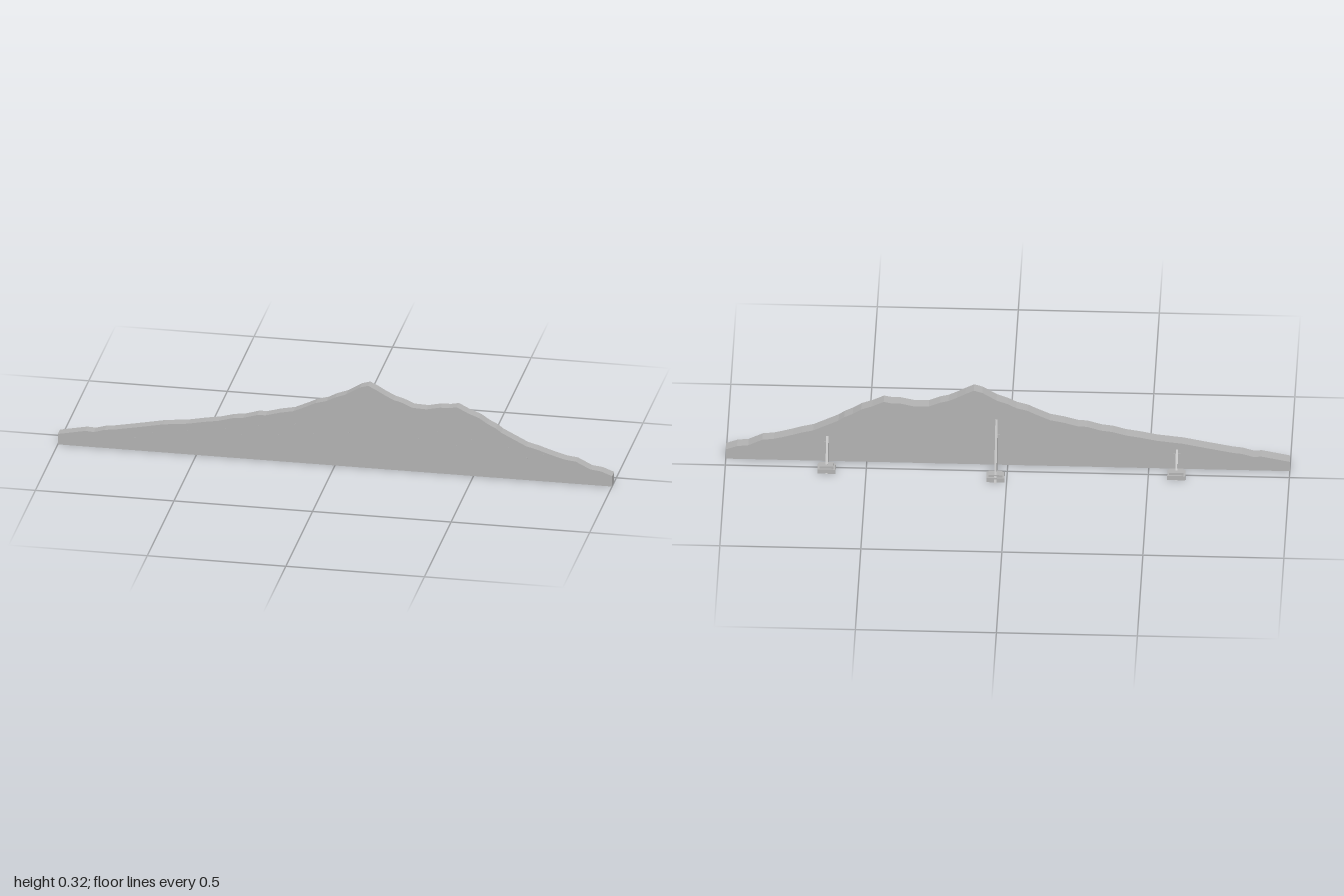
import * as THREE from 'three';

const gray = new THREE.MeshStandardMaterial({ color: 0xb2b2b2 });
gray.name = 'plain gray';

// Ridge line from the right end (-x) to the left end (+x)
const RIDGE = [
  [-1, 0.04], [-0.9, 0.06], [-0.87, 0.058], [-0.83, 0.07], [-0.8, 0.073], [-0.7, 0.092],
  [-0.62, 0.108], [-0.53, 0.118], [-0.47, 0.13], [-0.42, 0.138], [-0.37, 0.152], [-0.33, 0.157],
  [-0.28, 0.172], [-0.25, 0.173], [-0.2, 0.187], [-0.15, 0.197], [-0.1, 0.22], [-0.07, 0.235],
  [-0.03, 0.246], [0, 0.262], [0.04, 0.277], [0.09, 0.308], [0.12, 0.317], [0.15, 0.302],
  [0.18, 0.285], [0.21, 0.27], [0.24, 0.262], [0.28, 0.245], [0.33, 0.243], [0.38, 0.254],
  [0.41, 0.254], [0.44, 0.26], [0.48, 0.24], [0.52, 0.225], [0.55, 0.205], [0.58, 0.19],
  [0.6, 0.175], [0.64, 0.155], [0.69, 0.13], [0.73, 0.12], [0.76, 0.11], [0.8, 0.098],
  [0.83, 0.09], [0.87, 0.085], [0.92, 0.06], [0.96, 0.055], [1, 0.04],
];
const BACK = 0.04, FRONT = 0.08;

function prism(points, depth) {
  const shape = new THREE.Shape(points.map(([x, y]) => new THREE.Vector2(x, y)));
  return new THREE.ExtrudeGeometry(shape, { depth, bevelEnabled: false });
}

function add(parent, name, geometry, x = 0, y = 0, z = 0) {
  const mesh = new THREE.Mesh(geometry, gray);
  mesh.name = name;
  mesh.position.set(x, y, z);
  parent.add(mesh);
  return mesh;
}

// Triangular brace with a hinge plate and a stepped weight on its foot
function makeSupport({ x, height, foot, weightZ, hingeY }) {
  const group = new THREE.Group();
  group.name = 'support';
  group.position.x = x;
  const thick = 0.008;
  const brace = prism([[-BACK, 0], [-foot, 0], [-BACK, height]], thick);
  brace.rotateY(Math.PI / 2); // profile x becomes -z
  add(group, 'brace', brace, -thick / 2);
  add(group, 'hingePlate', new THREE.BoxGeometry(0.024, 0.025, 0.002), 0, hingeY, BACK - 0.001);
  add(group, 'weightBase', new THREE.BoxGeometry(0.064, 0.018, 0.04), 0, 0.009, weightZ);
  add(group, 'weightTop', new THREE.BoxGeometry(0.05, 0.009, 0.028), 0, 0.0225, weightZ);
  return group;
}

export function createModel() {
  const model = new THREE.Group();
  model.name = 'mountainCutout';

  // Flat mountain panel
  add(model, 'mountainPanel', prism([[-1, 0], [1, 0], ...[...RIDGE].reverse()], FRONT - BACK), 0, 0, BACK);

  // Supports behind the panel
  const supports = [
    { x: -0.6, height: 0.083, foot: -0.033, weightZ: -0.012, hingeY: 0.055 },
    { x: 0.04, height: 0.196, foot: -0.078, weightZ: -0.05, hingeY: 0.12 },
    { x: 0.64, height: 0.107, foot: -0.042, weightZ: -0.02, hingeY: 0.07 },
  ];
  // Profile x is negated by the rotation, so feet are mirrored here
  supports.forEach((s) => model.add(makeSupport(s)));

  // Tiny thin chips scattered along two slopes of the front face
  const chip = new THREE.BoxGeometry(0.012, 0.004, 0.001);
  for (let i = 0; i < 24; i++) {
    const x = -0.72 + i * 0.064;
    const ridge = 0.075 + 0.16 * Math.max(0, 1 - Math.abs(x - 0.15) / 0.9);
    const y = ridge * (i % 2 ? 0.8 : 0.6);
    add(model, 'rockChip', chip, x, y, FRONT).rotation.z = 0.4 * Math.sin(i * 2.3);
  }
  return model;
}
